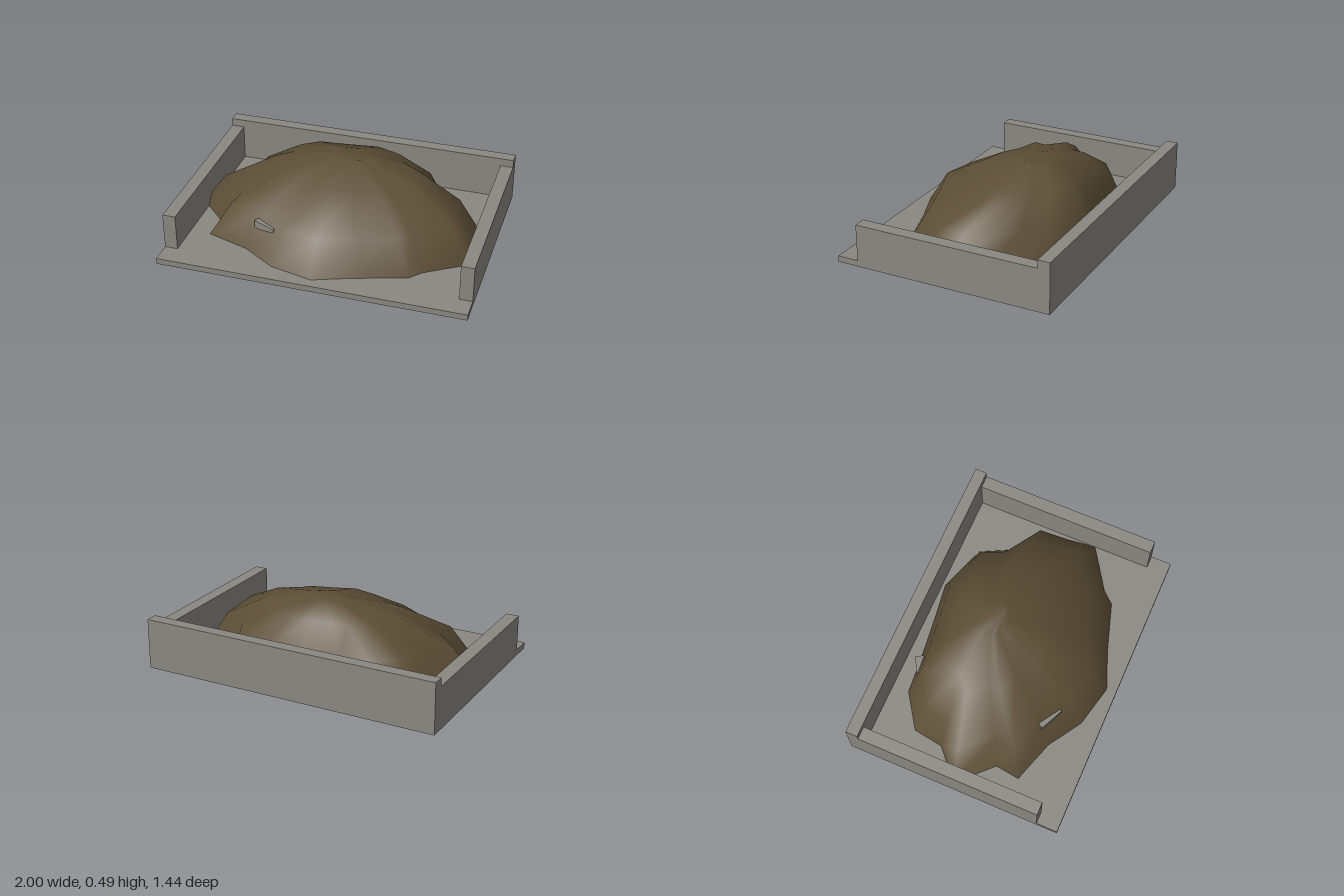
import * as THREE from 'three';

const concrete = new THREE.MeshStandardMaterial({ color: 0x8a8882 });
concrete.name = 'concrete';
const soil = new THREE.MeshStandardMaterial({ color: 0x5c4e36 });
soil.name = 'soil';

// Box given by its lower and upper corners
function slab(name, [x0, y0, z0], [x1, y1, z1]) {
  const mesh = new THREE.Mesh(new THREE.BoxGeometry(x1 - x0, y1 - y0, z1 - z0), concrete);
  mesh.position.set((x0 + x1) / 2, (y0 + y1) / 2, (z0 + z1) / 2);
  mesh.name = name;
  return mesh;
}

// Loose chunk half buried in the heap
function chunk(name, x, y, z, turn) {
  const mesh = new THREE.Mesh(new THREE.BoxGeometry(0.165, 0.05, 0.065), concrete);
  mesh.position.set(x, y, z);
  mesh.rotation.y = turn;
  mesh.name = name;
  return mesh;
}

// Heap: one ragged footprint shrunk ring by ring towards an off-centre peak
function heapGeometry() {
  const outline = [
    [0.25, -0.62], [0.57, -0.51], [0.66, -0.33], [0.88, -0.19], [0.89, 0], [0.915, 0.2],
    [0.64, 0.38], [0.57, 0.46], [0.25, 0.56], [0, 0.655], [-0.28, 0.59], [-0.5, 0.45],
    [-0.78, 0.36], [-0.76, 0.2], [-0.97, -0.01], [-0.78, -0.18], [-0.75, -0.38],
    [-0.53, -0.53], [-0.3, -0.55], [0, -0.585],
  ];
  // scale, height, shift in x, shift in z
  const rings = [
    [1, 0.04, 0, 0], [0.84, 0.25, 0, -0.03], [0.5, 0.412, 0, -0.115], [0.14, 0.487, 0.01, -0.155],
  ];
  const n = outline.length;
  const points = [];
  const faces = [];
  for (const [s, y, dx, dz] of rings) {
    for (const [x, z] of outline) points.push(x * s + dx, y, z * s + dz);
  }
  const peak = points.length / 3;
  points.push(0.1, 0.482, -0.1);
  for (let r = 0; r < rings.length; r++) {
    for (let i = 0; i < n; i++) {
      const a = r * n + i, b = r * n + (i + 1) % n;
      if (r === rings.length - 1) faces.push(a, peak, b);
      else faces.push(a, a + n, b, b, a + n, b + n);
    }
  }
  const geometry = new THREE.BufferGeometry();
  geometry.setAttribute('position', new THREE.Float32BufferAttribute(points, 3));
  geometry.setIndex(faces);
  geometry.computeVertexNormals();
  return geometry;
}

export function createModel() {
  const group = new THREE.Group();
  group.name = 'storageBay';

  // Open-fronted concrete bay
  group.add(slab('floor', [-1, 0, -0.72], [1, 0.04, 0.72]));
  group.add(slab('backWall', [-1, 0.04, -0.72], [1, 0.333, -0.64]));
  group.add(slab('leftWall', [0.915, 0.04, -0.64], [1, 0.28, 0.58]));
  group.add(slab('rightWall', [-1, 0.04, -0.64], [-0.915, 0.28, 0.58]));

  // Heap and the chunks poking out of it
  const heap = new THREE.Mesh(heapGeometry(), soil);
  heap.name = 'heap';
  group.add(heap);
  group.add(chunk('frontChunk', -0.37, 0.197, 0.392, -0.44));
  group.add(chunk('backChunk', -0.38, 0.13, -0.5, 0.5));

  return group;
}
